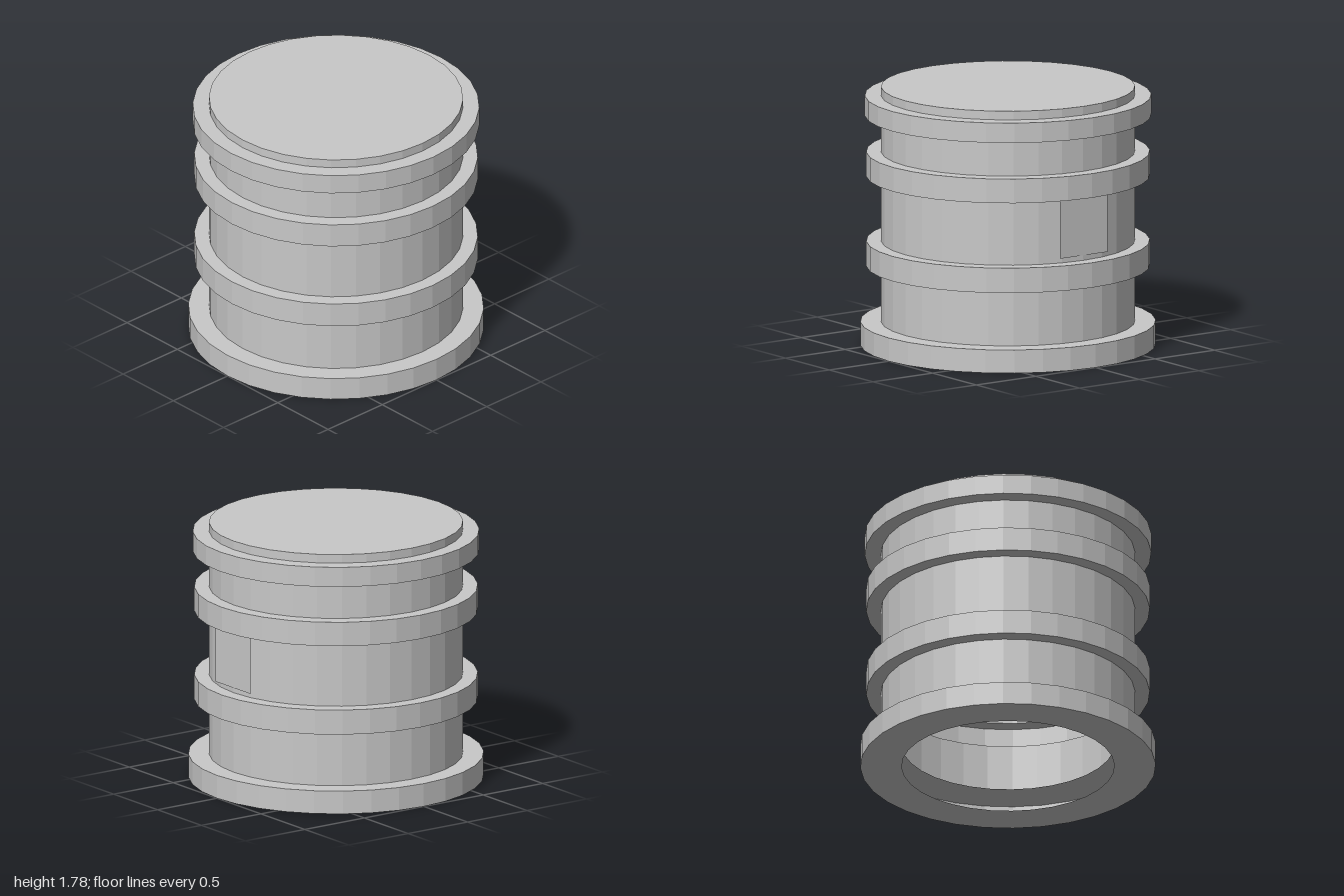
import * as THREE from 'three';

const SIDES = 32;
const WALL = 0.86;

export function createModel() {
  const model = new THREE.Group();
  const grey = new THREE.MeshStandardMaterial({ color: 0xc8c8c8, flatShading: true, side: THREE.DoubleSide });
  grey.name = 'light grey';

  // Faceted open shell turned from a [radius, height] profile
  function turned(name, profile) {
    const points = profile.map(([r, y]) => new THREE.Vector2(r, y));
    const mesh = new THREE.Mesh(new THREE.LatheGeometry(points, SIDES), grey);
    mesh.name = name;
    model.add(mesh);
  }

  // Hollow foot ring, open towards the inside
  turned('baseRing', [[0.72, 0], [1, 0], [1, 0.16], [0.72, 0.16]]);

  // Hollow hoops: [name, outer radius, bottom, top]
  const hoops = [
    ['lowerHoop', 0.96, 0.545, 0.717],
    ['upperHoop', 0.96, 1.165, 1.332],
    ['rimHoop', 0.97, 1.583, 1.72],
  ];
  for (const [name, r, bottom, top] of hoops) {
    turned(name, [[WALL, bottom], [r, bottom], [r, top], [WALL, top]]);
  }

  // Drum walls between the hoops
  turned('lowerWall', [[WALL, 0.16], [WALL, 0.545]]);
  turned('middleWall', [[WALL, 0.717], [WALL, 1.165]]);
  turned('upperWall', [[WALL, 1.332], [WALL, 1.583]]);

  // Closed lid on top
  turned('lid', [[WALL, 1.72], [WALL, 1.78], [0, 1.78]]);

  // Flat plate on the back of the middle wall
  const plate = new THREE.Mesh(new THREE.PlaneGeometry(0.4, 0.4), grey);
  plate.name = 'backPlate';
  plate.position.set(0, 0.953, -0.865);
  plate.rotation.y = Math.PI;
  model.add(plate);

  return model;
}
